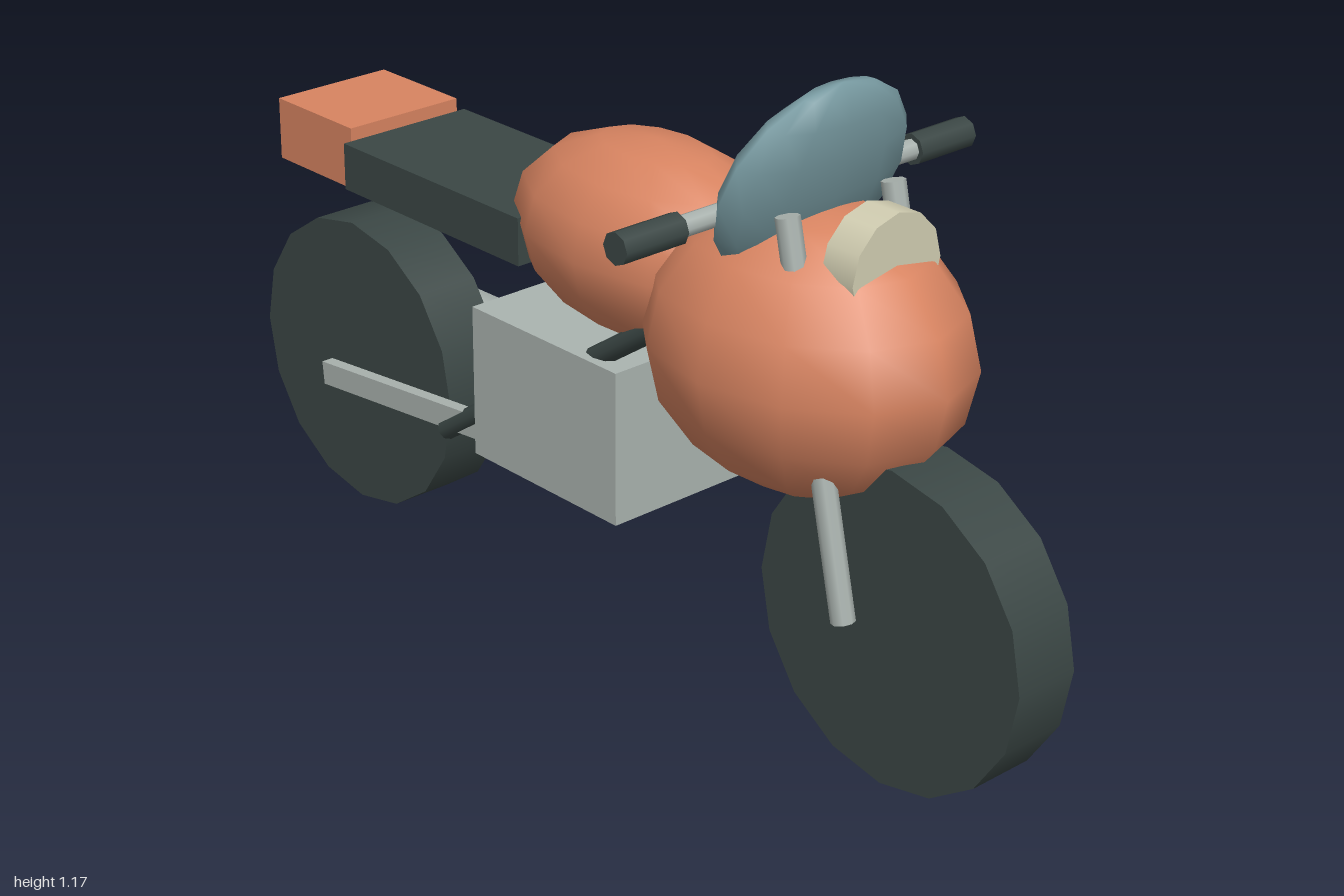
import * as THREE from 'three';

const mat = (name, color) => {
  const m = new THREE.MeshStandardMaterial({ color });
  m.name = name;
  return m;
};

export function createModel() {
  const paint = mat('orange paint', 0xd88461);
  const rubber = mat('dark rubber', 0x3b4745);
  const metal = mat('grey metal', 0xabb4b0);
  const glass = mat('blue windscreen', 0x7799a0);
  const lamp = mat('cream lamp', 0xd2ceb2);

  const bike = new THREE.Group();
  bike.name = 'motorcycle';

  const add = (name, geometry, material, x, y, z) => {
    const mesh = new THREE.Mesh(geometry, material);
    mesh.name = name;
    mesh.position.set(x, y, z);
    bike.add(mesh);
    return mesh;
  };
  const box = (name, material, size, pos) =>
    add(name, new THREE.BoxGeometry(...size), material, ...pos);
  const ellipsoid = (name, material, radii, pos) =>
    add(name, new THREE.SphereGeometry(1, 12, 8).scale(...radii), material, ...pos);

  // Bar between two points, round or square in section
  const align = (mesh, a, b) => {
    mesh.position.copy(a).add(b).multiplyScalar(0.5);
    mesh.quaternion.setFromUnitVectors(
      new THREE.Vector3(0, 1, 0), b.clone().sub(a).normalize());
    return mesh;
  };
  const rod = (name, material, from, to, r, sides = 8, rEnd = r) => {
    const a = new THREE.Vector3(...from), b = new THREE.Vector3(...to);
    return align(add(name, new THREE.CylinderGeometry(rEnd, r, a.distanceTo(b), sides),
      material, 0, 0, 0), a, b);
  };
  const beam = (name, material, from, to, width, height) => {
    const a = new THREE.Vector3(...from), b = new THREE.Vector3(...to);
    return align(add(name, new THREE.BoxGeometry(width, a.distanceTo(b), height),
      material, 0, 0, 0), a, b);
  };

  // Wheels, each with a metal ring on the left face
  for (const [name, z] of [['front', 0.71], ['rear', -0.71]]) {
    add(name + 'Wheel', new THREE.CylinderGeometry(0.29, 0.29, 0.13, 16).rotateZ(Math.PI / 2),
      rubber, 0, 0.29, z);
    add(name + 'WheelRing', new THREE.TorusGeometry(0.162, 0.023, 8, 16).rotateY(Math.PI / 2),
      metal, 0.067, 0.29, z);
  }

  // Body
  ellipsoid('frontFairing', paint, [0.247, 0.255, 0.315], [0, 0.7, 0.45]);
  ellipsoid('fuelTank', paint, [0.188, 0.18, 0.315], [0, 0.775, 0.08]);
  ellipsoid('windscreen', glass, [0.207, 0.188, 0.06], [0, 0.99, 0.45]).rotation.x = 0.35;
  box('seat', rubber, [0.285, 0.09, 0.5], [0, 0.74, -0.37]);
  box('tail', paint, [0.25, 0.12, 0.225], [0, 0.75, -0.733]);
  box('engine', metal, [0.31, 0.29, 0.385], [0, 0.44, -0.043]);

  // Headlamp, a short drum half sunk in the fairing
  add('headlamp', new THREE.CylinderGeometry(0.1, 0.1, 0.07, 12).rotateX(Math.PI / 2),
    lamp, 0, 0.885, 0.61);

  // Exhaust on the left side only
  const exhaust = rod('exhaust', metal, [0.165, 0.354, -0.097], [0.165, 0.352, -0.67], 0.054, 8, 0.047);
  exhaust.geometry.rotateY(Math.PI / 8);

  // Handlebar
  rod('handlebar', metal, [-0.3, 0.962, 0.42], [0.3, 0.962, 0.42], 0.019);

  // Mirrored parts
  for (const s of [-1, 1]) {
    rod('grip', rubber, [s * 0.265, 0.962, 0.42], [s * 0.395, 0.962, 0.42], 0.028);
    rod('fork', metal, [s * 0.12, 0.308, 0.667], [s * 0.12, 0.973, 0.518], 0.021);
    rod('frameTube', rubber, [s * 0.12, 0.74, 0.3], [s * 0.12, 0.287, -0.362], 0.02);
    beam('swingArm', metal, [s * 0.12, 0.333, -0.22], [s * 0.12, 0.28, -0.73], 0.024, 0.046);
  }
  return bike;
}
